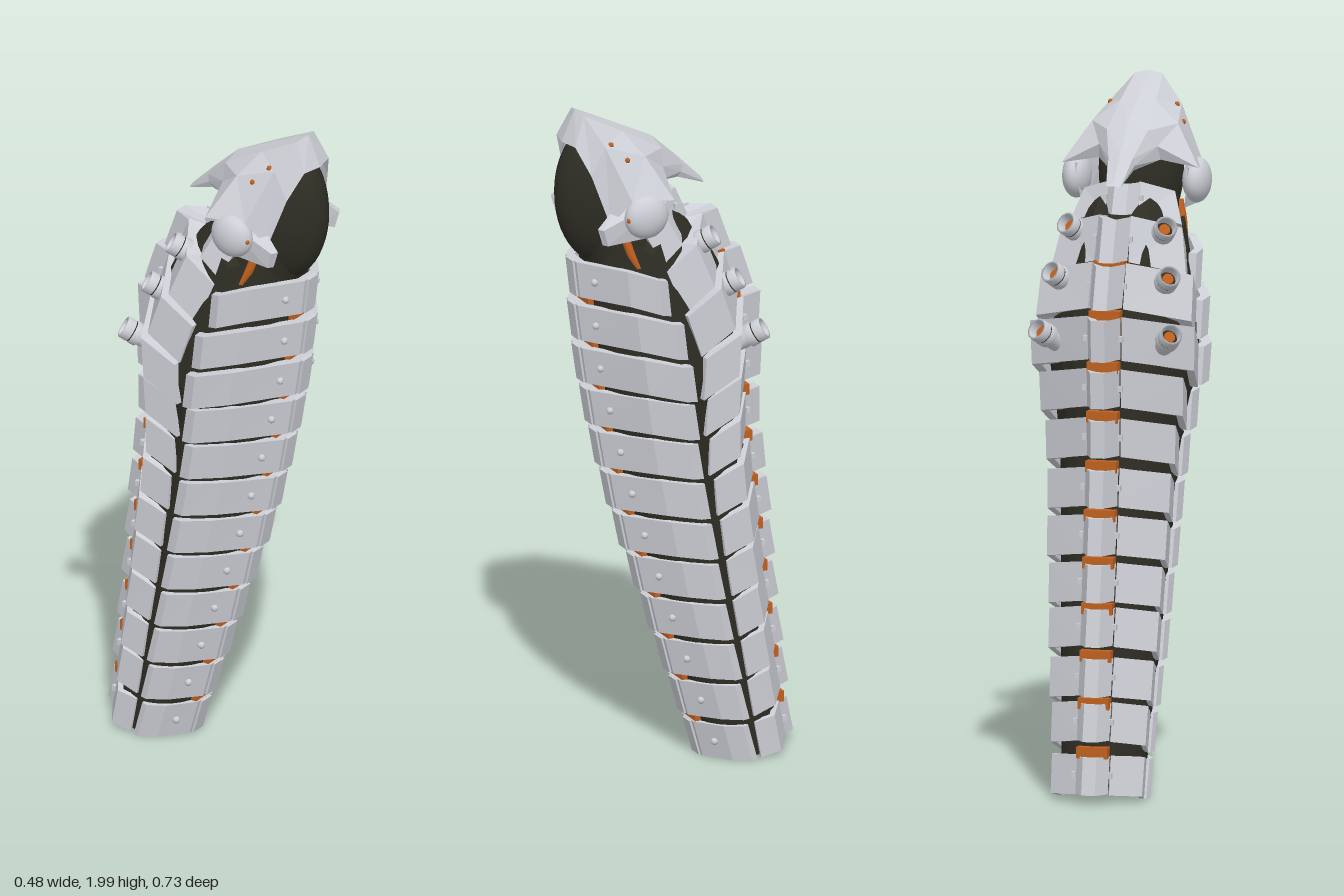
import * as THREE from 'three';

const armour = new THREE.MeshStandardMaterial({ color: 0xcdcfd6, side: THREE.DoubleSide });
armour.name = 'grey armour';
const core = new THREE.MeshStandardMaterial({ color: 0x2e2d24, side: THREE.DoubleSide });
core.name = 'dark core';
const copper = new THREE.MeshStandardMaterial({ color: 0xc0601f, side: THREE.DoubleSide });
copper.name = 'orange copper';

// per segment, tail to neck
const W = [.135, .14, .15, .16, .165, .175, .18, .19, .21, .24, .23, .2, .165];
const gapZ = [-.2, -.175, -.15, -.12, -.095, -.07, -.045, -.02, 0, .02, .045, .085, .13];
const frontZ = [-.065, -.02, .025, .07, .115, .16, .2, .235, .265, .29, .305, .31, .3];
const backZ = [-.36, -.345, -.33, -.315, -.305, -.295, -.28, -.265, -.27, -.265, -.225, -.155, -.02];
const backY = [.085, .235, .36, .5, .625, .757, .89, 1.03, 1.17, 1.31, 1.455, 1.58, 1.68];
const backTilt = [.2, .2, .2, .2, .18, .15, .1, 0, -.05, -.05, .33, .36, .45];
// back plates near the neck are deeper and narrow upwards
const backThick = i => [.3, .5, .6][i - 10] ?? .12;
const backTaper = i => [.96, .87, .8][i - 10] ?? 1;
const frontY = i => .06 + .131 * i;
const gapY = i => frontY(i) - .045 * i / 11;
const lerp = THREE.MathUtils.lerp;

// point t of the way from the side seam to the front or back edge
function at(i, side, t, x) {
  const front = side === 'front';
  const ty = Math.min(1, t * 1.6);
  return [x, lerp(gapY(i), front ? frontY(i) : backY[i], ty), lerp(gapZ[i], front ? frontZ[i] : backZ[i], t)];
}

function mesh(name, geometry, material, parent) {
  const m = new THREE.Mesh(geometry, material);
  m.name = name;
  parent.add(m);
  return m;
}

// faceted surface through rings of equal length
function loft(rings, { closed = true, caps = true } = {}) {
  const p = [], n = rings[0].length;
  const tri = (a, b, c) => p.push(...a, ...b, ...c);
  for (let r = 0; r < rings.length - 1; r++)
    for (let k = 0; k < (closed ? n : n - 1); k++) {
      const A = rings[r], B = rings[r + 1], l = (k + 1) % n;
      tri(A[k], A[l], B[l]);
      tri(A[k], B[l], B[k]);
    }
  if (caps) for (let k = 1; k < n - 1; k++) {
    const A = rings[0], B = rings[rings.length - 1];
    tri(A[0], A[k + 1], A[k]);
    tri(B[0], B[k], B[k + 1]);
  }
  const g = new THREE.BufferGeometry();
  g.setAttribute('position', new THREE.Float32BufferAttribute(p, 3));
  g.computeVertexNormals();
  return g;
}

// curved armour plate of half height h with real thickness
function plate(points, i, h, tilt, thick = .12, taper = 1) {
  return loft(points.map(([x, y, z]) => {
    const ix = x * (1 - thick), iy = lerp(y, gapY(i), thick * .3), iz = lerp(z, gapZ[i], thick);
    return [
      [x * .985, y - h, z - h * tilt], [ix, iy - h, iz - h * tilt],
      [ix * taper, iy + h, iz + h * tilt], [x * taper, y + h, z + h * tilt],
    ];
  }));
}

// copper strip low in the gap between two segments
function joint(name, i, side, t, size, drop, parent) {
  const a = at(i, side, t, 0), b = at(i + 1, side, t, 0);
  mesh(name, new THREE.BoxGeometry(...size), copper, parent).position.set(0, (a[1] + b[1]) / 2 - drop, (a[2] + b[2]) / 2);
}

function addBody(root) {
  // dark inner body
  const rings = W.map((w, i) => Array.from({ length: 24 }, (_, k) => {
    const a = k / 24 * Math.PI * 2, c = Math.cos(a);
    const q = at(i, c > 0 ? 'front' : 'back', Math.abs(c) * (c > 0 ? .84 : .72), w * .88 * Math.sin(a));
    if (i === 0) { q[1] -= .045; q[2] -= .01; }
    return q;
  }));
  mesh('innerBody', loft(rings), core, root);
  // copper ends showing under the tail
  for (const [y, z] of [[.018, -.098], [.042, -.318]])
    mesh('tailContact', new THREE.BoxGeometry(.05, .02, .016), copper, root).position.set(0, y, z);

  for (let i = 0; i < 13; i++) {
    const seg = new THREE.Group();
    seg.name = 'segment' + (i + 1);
    root.add(seg);
    const w = W[i], neck = i === 12;

    if (!neck) {
      const half = [at(i, 'front', .06, .95 * w), at(i, 'front', .2, w), at(i, 'front', .56, .8 * w), at(i, 'front', 1, .035)];
      const other = half.map(([x, y, z]) => [-x, y, z]).reverse();
      mesh('bellyPlate', plate([...half, ...other], i, .054, lerp(.28, .12, i / 11)), armour, seg);
      // raised centre ridge
      const c = at(i, 'front', 1, 0);
      const ridge = mesh('bellyRidge', new THREE.BoxGeometry(.045, .11, .012), armour, seg);
      ridge.position.set(0, c[1], c[2]);
      ridge.rotation.x = lerp(.28, .12, i / 11);
      if (i < 11) {
        joint('bellyJoint', i, 'front', .85, [.075, .04, .018], 0, seg);
        joint('spineJoint', i, 'back', .75, [.09, .032, .036], .012, seg);
      }
    }

    const h = neck ? .045 : i > 8 ? .064 : .056;
    const spine = [[.75, .048], [1, .02]].map(([t, x]) => at(i, 'back', t, x));
    mesh('spinePlate', plate([...spine, ...spine.map(([x, y, z]) => [-x, y, z]).reverse()],
      i, h * .93, backTilt[i], Math.max(.2, backThick(i))), armour, seg);

    for (const s of [1, -1]) {
      const flank = [[.06, .93 * w], [.42, w], [.76, .052]].map(([t, x]) => at(i, 'back', t, s * x));
      mesh('flankPlate', plate(flank, i, h * .98, backTilt[i], backThick(i), backTaper(i)), armour, seg);
      const link = at(i, 'back', .78, s * .052);
      mesh('spineLink', new THREE.BoxGeometry(.012, .016, .012), armour, seg).position.set(...link);
      if (!neck) {
        const bolt = mesh('bellyBolt', new THREE.SphereGeometry(.011, 8, 6), armour, seg);
        const u = (.075 - .035) / (.8 * w - .035);
        bolt.position.set(s * .075, frontY(i), lerp(frontZ[i], lerp(gapZ[i], frontZ[i], .56), u));
      }
    }
  }
}

function addPorts(root) {
  const profile = [[.026, -.07], [.028, -.01], [.034, -.005], [.034, .014], [.029, .017], [.033, .022], [.032, .046], [.025, .046], [.024, .012]]
    .map(([r, y]) => new THREE.Vector2(r, y));
  for (const [x, y, z] of [[.126, 1.59, -.03], [.153, 1.46, -.095], [.175, 1.305, -.16]])
    for (const s of [1, -1]) {
      const port = new THREE.Group();
      port.name = s > 0 ? 'leftPort' : 'rightPort';
      port.position.set(x * s, y, z);
      port.quaternion.setFromUnitVectors(new THREE.Vector3(0, 1, 0), new THREE.Vector3(.45 * s, .5, -.72).normalize());
      mesh('portBarrel', new THREE.LatheGeometry(profile, 20), armour, port);
      const seal = mesh('portSeal', new THREE.TorusGeometry(.0295, .002, 6, 20), core, port);
      seal.rotation.x = Math.PI / 2;
      seal.position.y = .018;
      mesh('portFloor', new THREE.CylinderGeometry(.024, .024, .006, 16), core, port).position.y = .014;
      mesh('portCore', new THREE.CylinderGeometry(.016, .016, .016, 12), copper, port).position.y = .02;
      root.add(port);
    }
}

function addHead(root) {
  const head = new THREE.Group();
  head.name = 'head';
  root.add(head);

  // smooth dark face, narrowing to a keel at the front
  const egg = new THREE.SphereGeometry(1, 32, 24);
  const pos = egg.attributes.position;
  for (let k = 0; k < pos.count; k++) pos.setX(k, pos.getX(k) * (1 - .3 * Math.max(0, pos.getZ(k))));
  egg.computeVertexNormals();
  const face = mesh('face', egg, core, head);
  face.scale.set(.122, .21, .14);
  face.position.set(0, 1.735, .222);
  face.rotation.x = .1;
  const neck = mesh('neck', new THREE.CylinderGeometry(.115, .13, .17, 24), core, head);
  neck.position.set(0, 1.58, .16);
  neck.rotation.x = .4;

  // hood sections from brow to swept-back crest, outer edge to centre
  const rows = [
    [[.138, 1.69, .26], [.1, 1.83, .3], [.06, 1.91, .332], [0, 1.91, .345]],
    [[.178, 1.765, .21], [.105, 1.915, .26], [.04, 1.992, .295], [0, 2, .305]],
    [[.2, 1.76, .09], [.125, 1.875, .145], [.052, 1.932, .18], [0, 1.945, .185]],
    [[.09, 1.78, .085], [.085, 1.82, .07], [.06, 1.865, .06], [0, 1.885, .065]],
    [[.035, 1.76, 0], [.04, 1.775, -.01], [.035, 1.795, -.015], [0, 1.81, -.015]],
    [[.015, 1.725, -.085], [.022, 1.727, -.088], [.022, 1.73, -.088], [0, 1.735, -.09]],
  ];
  const under = rows.slice(3).map(([[x, y, z]]) => [[-x, y, z], [x, y, z]]);
  mesh('crestUnderside', loft(under, { closed: false, caps: false }), armour, head);

  for (const s of [1, -1]) {
    const mirror = r => r.map(([x, y, z]) => [s * x, y, z]);
    mesh('hoodHalf', loft(rows.map(mirror), { closed: false, caps: false }), armour, head);
    const ear = mesh('earPod', new THREE.SphereGeometry(1, 24, 16), armour, head);
    ear.scale.set(.04, .065, .066);
    ear.position.set(s * .175, 1.715, .165);
    // cheek guard and its lower fin
    mesh('cheek', loft([
      [[.13, 1.73, .25], [.165, 1.76, .1], [.15, 1.64, .12], [.13, 1.64, .24]],
      [[.15, 1.69, .305], [.168, 1.69, .295], [.165, 1.64, .28], [.15, 1.64, .29]],
    ].map(mirror)), armour, head);
    // orange sensors and neck hoses
    for (const [x, y, z, r] of [[.125, 1.872, .2, .008], [.097, 1.915, .238, .008], [.187, 1.715, .225, .007]])
      mesh('sensor', new THREE.SphereGeometry(r, 8, 6), copper, head).position.set(s * x, y, z);
    const hose = new THREE.CatmullRomCurve3([
      new THREE.Vector3(s * .112, 1.65, .205), new THREE.Vector3(s * .127, 1.59, .19), new THREE.Vector3(s * .137, 1.53, .16)]);
    mesh('neckHose', new THREE.TubeGeometry(hose, 8, .013, 8), copper, head);
  }
}

export function createModel() {
  const root = new THREE.Group();
  root.name = 'segmentedWorm';
  addBody(root);
  addPorts(root);
  addHead(root);
  return root;
}
